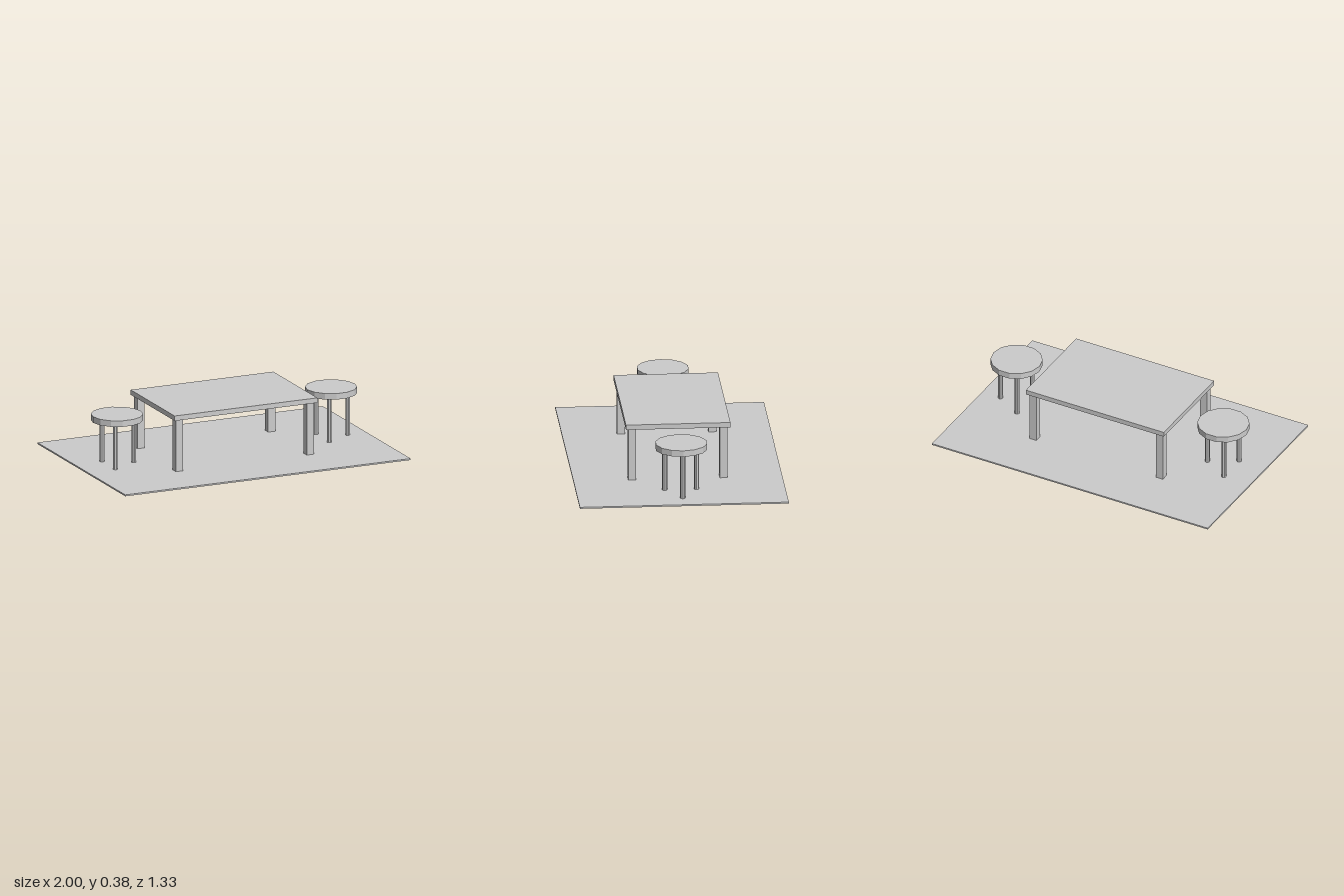
import * as THREE from 'three';

const paint = new THREE.MeshStandardMaterial({ color: 0xcccccc, flatShading: true });
paint.name = 'plain light grey';

const FLOOR_TOP = 0.01;

// Adds a mesh whose underside sits at height y
function place(parent, name, geometry, height, x, y, z) {
  const mesh = new THREE.Mesh(geometry, paint);
  mesh.name = name;
  mesh.position.set(x, y + height / 2, z);
  parent.add(mesh);
}

function box(parent, name, w, h, d, x, y, z) {
  place(parent, name, new THREE.BoxGeometry(w, h, d), h, x, y, z);
}

function disc(parent, name, r, h, sides, x, y, z) {
  const geometry = new THREE.CylinderGeometry(r, r, h, sides, 1, false, Math.PI / 2);
  place(parent, name, geometry, h, x, y, z);
}

// Table with four square legs
function createTable() {
  const table = new THREE.Group();
  table.name = 'table';
  const topBase = 0.3525;
  box(table, 'tableTop', 1, 0.0325, 0.667, 0, topBase, 0);
  for (const sx of [-1, 1]) {
    for (const sz of [-1, 1]) {
      box(table, 'tableLeg', 0.05, topBase - FLOOR_TOP, 0.05, sx * 0.4585, FLOOR_TOP, sz * 0.292);
    }
  }
  return table;
}

// Round stool with three slim legs
function createStool(name, x) {
  const stool = new THREE.Group();
  stool.name = name;
  const seatBase = 0.303;
  disc(stool, 'seat', 0.1667, 0.04, 14, 0, seatBase, 0);
  for (let i = 0; i < 3; i++) {
    const a = (i * 2 * Math.PI) / 3;
    disc(stool, 'stoolLeg', 0.0162, seatBase - FLOOR_TOP, 8,
      0.1167 * Math.cos(a), FLOOR_TOP, 0.1167 * Math.sin(a));
  }
  stool.position.x = x;
  return stool;
}

export function createModel() {
  const model = new THREE.Group();
  model.name = 'tableAndStools';
  box(model, 'floor', 2, FLOOR_TOP, 1.333, 0, 0, 0);
  model.add(createTable(), createStool('leftStool', 0.75), createStool('rightStool', -0.75));
  return model;
}
